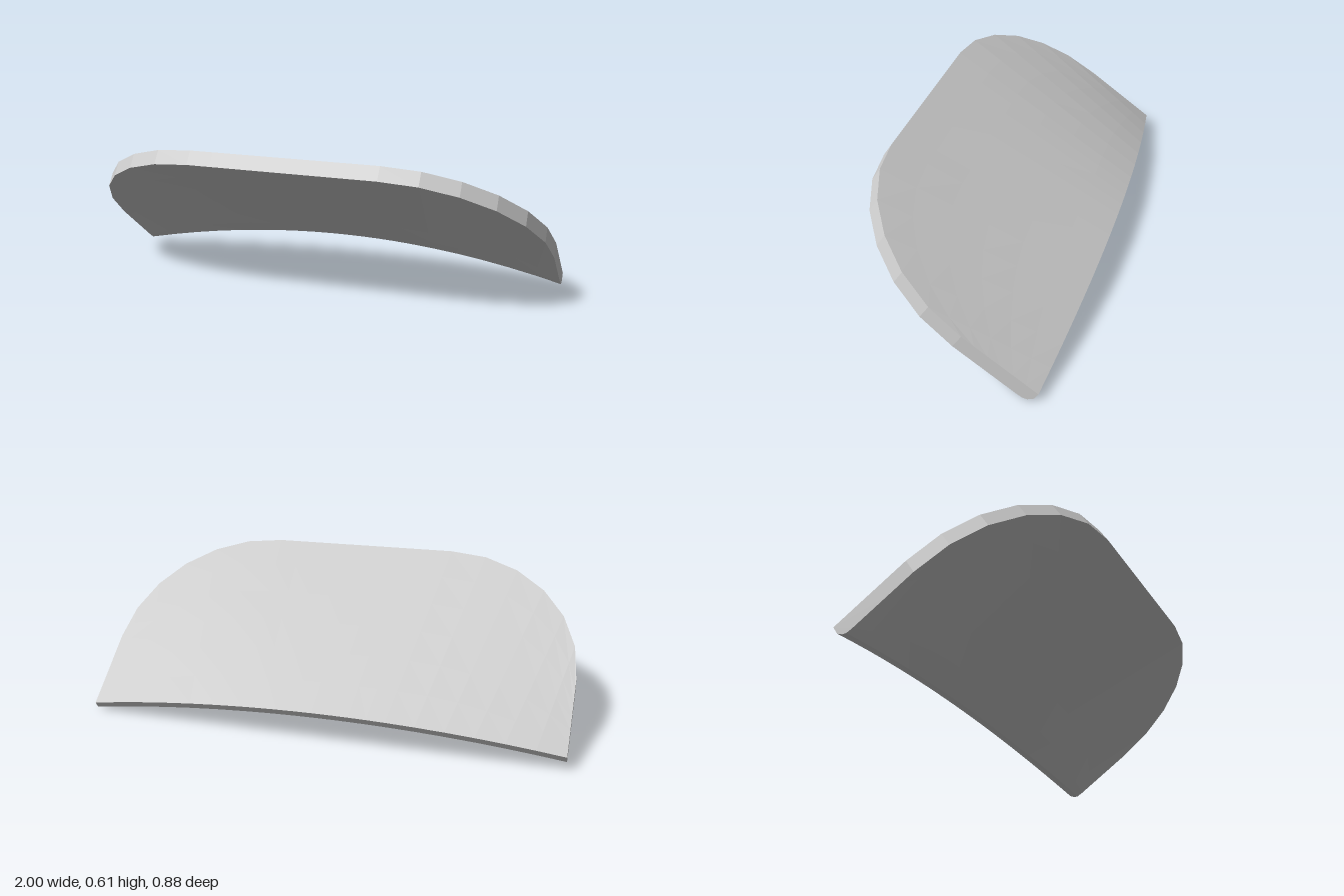
import * as THREE from 'three';

const BACK = -0.28, FRONT = 0.67, RADIUS = 0.6, STRAIGHT = 0.4;
const THICK = 0.064, ARCH = 0.119, ROLL = 0.02, TILT = 0.585;
const STEPS = 6;

// Rim points from the -x side round to the +x side: corner arc, straight front, corner arc
function rimPoints() {
  const pts = [];
  const half = STRAIGHT + RADIUS * Math.PI / 2;
  const corner = (k, side) => {
    const a = k * Math.PI / 12;
    pts.push({
      x: side * (STRAIGHT + RADIUS * Math.sin(a)),
      f: FRONT - RADIUS * (1 - Math.cos(a)),
      xb: side * (STRAIGHT + RADIUS * a) / half,
    });
  };
  for (let k = 6; k >= 0; k--) corner(k, -1);
  for (let k = 1; k < 8; k++) {
    const x = STRAIGHT * (k / 4 - 1);
    pts.push({ x, f: FRONT, xb: x / half });
  }
  for (let k = 0; k <= 6; k++) corner(k, 1);
  return pts;
}

// Closed section along the line from the arched back edge (s = 0) to the flat rim (s = 1)
function section({ x, f, xb }) {
  const point = (s, drop, inset = 0) => {
    const px = xb + (x - xb) * s;
    const pf = BACK + (f - BACK) * s + inset;
    const plane = 0.252 + (pf - BACK) * 0.0305;
    const arch = ARCH * (1 - xb * xb) * (1 - s);
    return [px, plane + arch - drop - ROLL * px, pf];
  };
  const loop = [];
  for (let i = 0; i <= STEPS; i++) loop.push(point(i / STEPS, 0));
  for (let i = STEPS; i >= 1; i--) loop.push(point(i / STEPS, THICK));
  // rounded lower back edge
  loop.push(point(0, 0.062, 0.03), point(0, 0.054, 0.015), point(0, 0.034));
  return loop;
}

export function createModel() {
  const sections = rimPoints().map(section);
  const n = sections[0].length, last = sections.length - 1;
  const index = [];
  for (let j = 0; j < last; j++) {
    for (let i = 0; i < n; i++) {
      const k = (i + 1) % n;
      const a = j * n + i, b = j * n + k, c = b + n, d = a + n;
      index.push(a, b, c, a, c, d);
    }
  }
  // straight side walls
  for (let i = 1; i < n - 1; i++) {
    index.push(0, i + 1, i);
    index.push(last * n, last * n + i, last * n + i + 1);
  }
  const geometry = new THREE.BufferGeometry();
  geometry.setAttribute('position', new THREE.Float32BufferAttribute(sections.flat(2), 3));
  geometry.setIndex(index);
  geometry.computeVertexNormals();

  const plate = new THREE.Mesh(geometry, new THREE.MeshStandardMaterial({ color: 0xcccccc, flatShading: true }));
  plate.name = 'archedPlate';
  plate.rotation.x = -TILT;

  const model = new THREE.Group();
  model.name = 'visorPlate';
  model.add(plate);
  return model;
}
